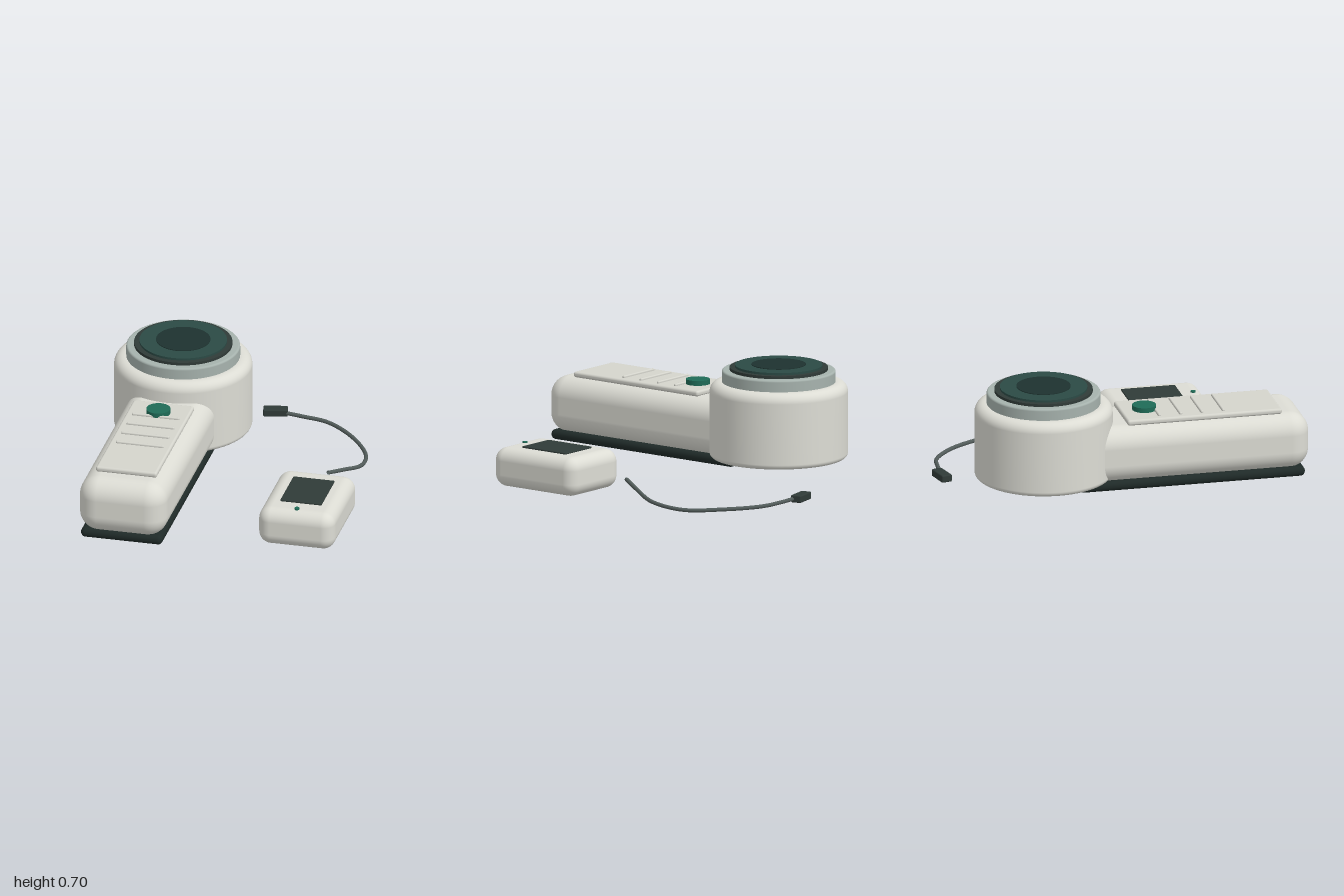
import * as THREE from 'three';
import { RoundedBoxGeometry } from 'three/addons/geometries/RoundedBoxGeometry.js';

const TILT = -0.225;
const mat = (color) => new THREE.MeshStandardMaterial({ color });
const shell = mat(0xdcdcd4), panel = mat(0xd4d4cc), collarGrey = mat(0xa6b2ad), dark = mat(0x1f2a28),
  rimDark = mat(0x303b38), lensTeal = mat(0x2b4a45), pupil = mat(0x1d322f), green = mat(0x1f6b57),
  cableGrey = mat(0x525c5a);

function add(parent, name, geometry, material, x = 0, y = 0, z = 0) {
  const mesh = new THREE.Mesh(geometry, material);
  mesh.name = name;
  mesh.position.set(x, y, z);
  parent.add(mesh);
  return mesh;
}

// Rounded box given by its bottom and top heights
function slab(parent, name, material, w, l, y0, y1, r, x = 0, z = 0, seg = 5) {
  return add(parent, name, new RoundedBoxGeometry(w, y1 - y0, l, seg, r), material, x, (y0 + y1) / 2, z);
}

// Upright disc given by its bottom and top heights
function disc(parent, name, material, r, y0, y1, x = 0, z = 0, seg = 64) {
  return add(parent, name, new THREE.CylinderGeometry(r, r, y1 - y0, seg), material, x, (y0 + y1) / 2, z);
}

function subGroup(parent, name, x, z, turn = 0) {
  const g = new THREE.Group();
  g.name = name;
  g.position.set(x, 0, z);
  g.rotation.y = turn;
  parent.add(g);
  return g;
}

// Drum with rounded top and bottom edges
function drumGeometry(r, y0, y1, rBottom, rTop) {
  const pts = [new THREE.Vector2(0, y0), new THREE.Vector2(r - rBottom - 0.001, y0)];
  const arc = (cy, rad, from) => {
    for (let i = 0; i <= 8; i++) {
      const a = from + (i / 8) * Math.PI / 2;
      pts.push(new THREE.Vector2(r - rad + rad * Math.cos(a), cy + rad * Math.sin(a)));
    }
  };
  arc(y0 + rBottom, rBottom, -Math.PI / 2);
  arc(y1 - rTop, rTop, 0);
  pts.push(new THREE.Vector2(r - rTop - 0.001, y1), new THREE.Vector2(0, y1));
  return new THREE.LatheGeometry(pts, 64);
}

export function createModel() {
  const model = new THREE.Group();
  model.name = 'handheldScanner';

  // Handle with base, top plate, grip ridges and button
  const handle = subGroup(model, 'handle', -0.443, 0.26, TILT);
  slab(handle, 'handleBody', shell, 0.53, 1.44, 0.135, 0.477, 0.12, 0, 0, 8);
  slab(handle, 'base', dark, 0.495, 1.37, 0.095, 0.155, 0.029);
  slab(handle, 'basePad', shell, 0.37, 1.15, 0.092, 0.12, 0.004, 0, 0, 2);
  const plateZ = 0.09;
  slab(handle, 'topPlate', panel, 0.37, 0.935, 0.473, 0.507, 0.014, 0, plateZ);
  for (let i = 0; i < 4; i++) {
    slab(handle, 'gripRidge', panel, 0.29, 0.018, 0.5, 0.52, 0.008, 0, plateZ - 0.265 + i * 0.129, 3);
  }
  disc(handle, 'button', green, 0.071, 0.5, 0.536, 0, plateZ - 0.325, 40);

  // Round head with stepped lens
  const head = subGroup(model, 'head', -0.254, -0.563);
  add(head, 'headDrum', drumGeometry(0.408, 0.145, 0.6, 0.03, 0.06), shell);
  add(head, 'collar', drumGeometry(0.336, 0.58, 0.67, 0.005, 0.012), collarGrey);
  disc(head, 'lensRim', rimDark, 0.29, 0.66, 0.687);
  disc(head, 'lens', lensTeal, 0.258, 0.68, 0.7);
  disc(head, 'iris', pupil, 0.16, 0.69, 0.704);

  // Separate power pack
  const pack = subGroup(model, 'powerPack', 0.495, 0.532, TILT);
  slab(pack, 'packBody', shell, 0.462, 0.616, 0.007, 0.24, 0.075, 0, 0, 7);
  slab(pack, 'screen', rimDark, 0.25, 0.327, 0.23, 0.249, 0.004, 0, -0.006, 2);
  disc(pack, 'indicator', green, 0.015, 0.23, 0.248, -0.003, 0.237, 20);

  // Loose cable ending in a plug
  const path = new THREE.CatmullRomCurve3([
    [0.33, 0.037, -0.95], [0.45, 0.03, -0.91], [0.587, 0.026, -0.85], [0.73, 0.02, -0.68],
    [0.822, 0.014, -0.45], [0.8, 0.04, -0.24], [0.7, 0.085, -0.09], [0.61, 0.117, 0.018],
  ].map((p) => new THREE.Vector3(...p)));
  const cable = add(model, 'cable', new THREE.TubeGeometry(path, 72, 0.012, 10), cableGrey);
  cable.material.side = THREE.DoubleSide;
  slab(model, 'plug', rimDark, 0.145, 0.066, 0.015, 0.06, 0.008, 0.283, -0.966, 3);

  return model;
}
